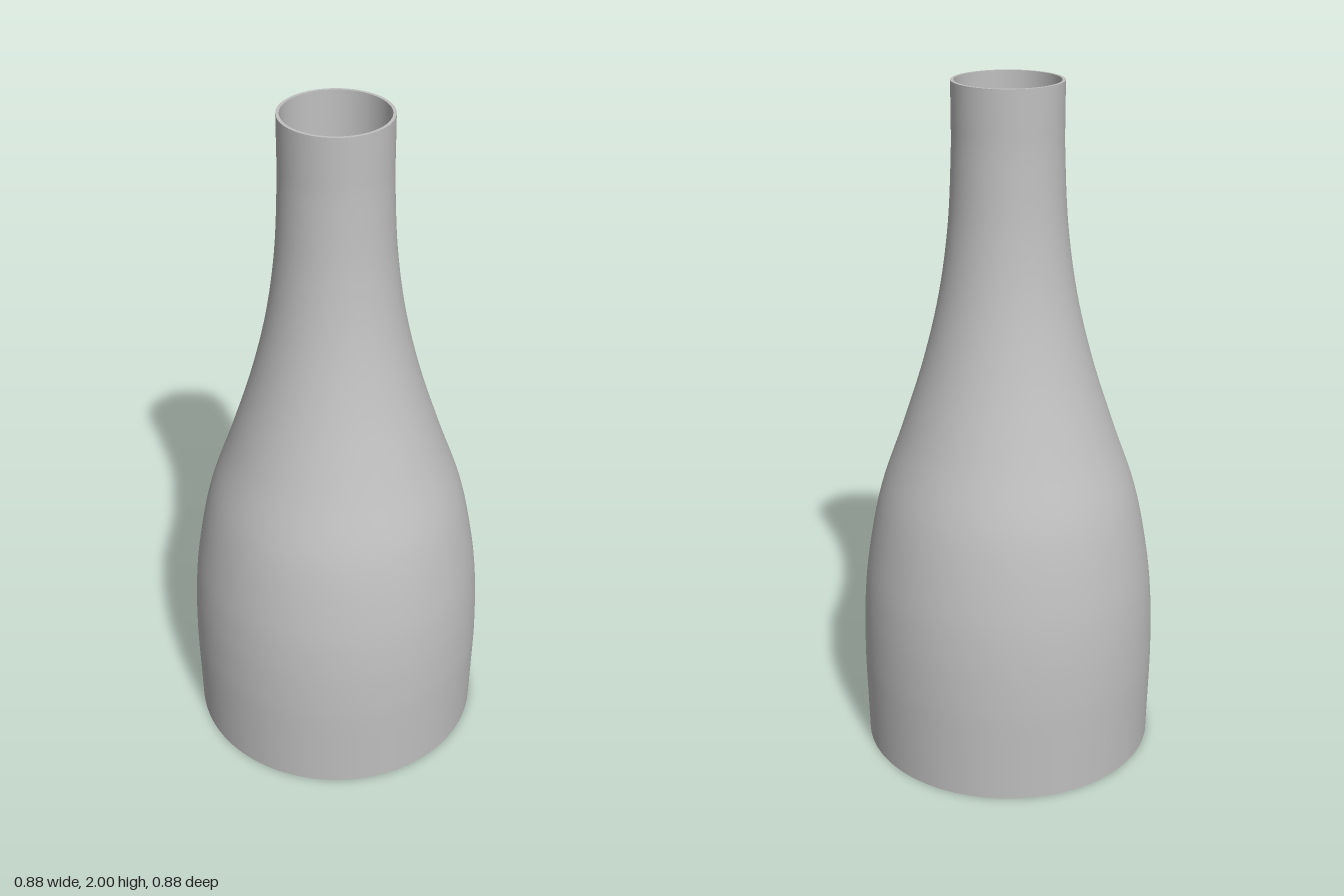
import * as THREE from 'three';

const SEGMENTS = 96;
const WALL = 0.009;

export function createModel() {
  const group = new THREE.Group();
  group.name = 'bottleShade';
  const grey = new THREE.MeshStandardMaterial({ color: 0xc0c0c0 });
  grey.name = 'plain grey';

  // Silhouette: short straight skirt, full belly, concave shoulder, straight neck
  const curve = new THREE.SplineCurve([
    [0.437, 0.2], [0.438, 0.3], [0.433, 0.45], [0.417, 0.6], [0.377, 0.8], [0.308, 1.0],
    [0.244, 1.2], [0.196, 1.4], [0.168, 1.6], [0.157, 1.8], [0.156, 1.9],
  ].map(([r, y]) => new THREE.Vector2(r, y)));
  const outer = [
    new THREE.Vector2(0.432, 0),
    ...curve.getPoints(60),
    new THREE.Vector2(0.156, 2),
  ];
  const inner = outer.map((p) => new THREE.Vector2(p.x - WALL, p.y)).reverse();

  const addLathe = (name, points) => {
    const mesh = new THREE.Mesh(new THREE.LatheGeometry(points, SEGMENTS), grey);
    mesh.name = name;
    group.add(mesh);
  };

  // Hollow shell, open at both ends, with crisp flat rims
  const last = outer.length - 1;
  addLathe('outerWall', outer);
  addLathe('topRim', [outer[last], inner[0]]);
  addLathe('innerWall', inner);
  addLathe('bottomRim', [inner[last], outer[0]]);

  return group;
}
